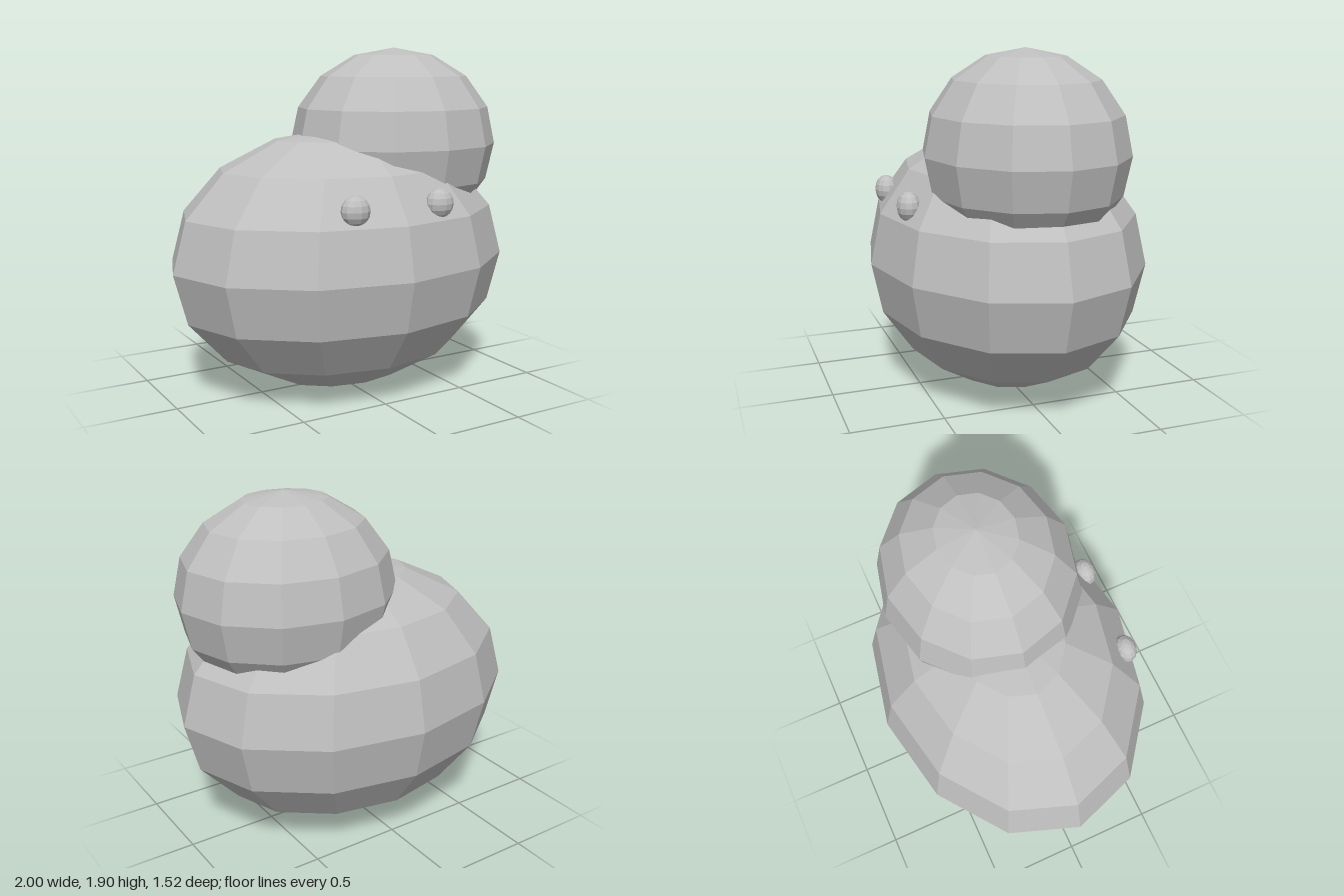
import * as THREE from 'three';

export function createModel() {
  const group = new THREE.Group();
  group.name = 'roundCreature';

  const grey = new THREE.MeshStandardMaterial({ color: 0xbfbfbf, flatShading: true });
  grey.name = 'grey';

  // Faceted ellipsoid with a vertex on each axis
  function ellipsoid(name, [rx, ry, rz], [x, y, z]) {
    const geometry = new THREE.SphereGeometry(1, 12, 8).scale(rx, ry, rz);
    const mesh = new THREE.Mesh(geometry, grey);
    mesh.name = name;
    mesh.position.set(x, y, z);
    group.add(mesh);
  }

  // Wide body standing on its lower pole
  ellipsoid('body', [1, 0.73, 0.76], [0, 0.735, 0]);

  // Smaller ball resting on the left shoulder
  ellipsoid('topBall', [0.61, 0.545, 0.545], [0.36, 1.365, 0]);

  // Pair of eyes sunk into the front of the body
  for (const side of [-1, 1]) {
    ellipsoid(side > 0 ? 'leftEye' : 'rightEye', [0.08, 0.08, 0.063], [side * 0.257, 1.1, 0.607]);
  }

  return group;
}
